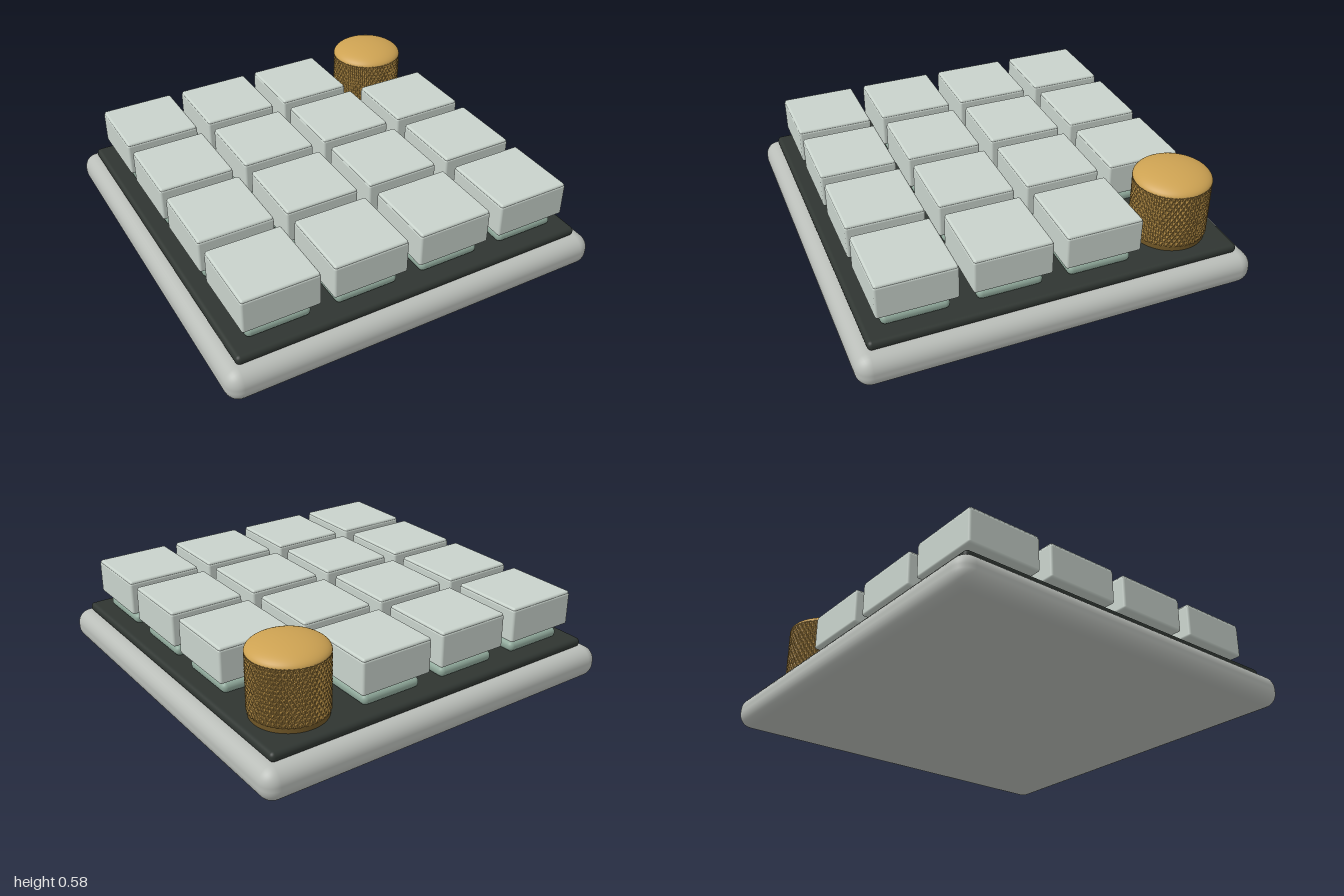
import * as THREE from 'three';
import { RoundedBoxGeometry } from 'three/addons/geometries/RoundedBoxGeometry.js';

const paint = (color) => new THREE.MeshStandardMaterial({ color });
const shell = paint(0xb9bdb8), dark = paint(0x2f3531), capPaint = paint(0xc8d2cb);
const switchPaint = paint(0x8fa89a), gold = paint(0xcda252), bronze = paint(0x6e5526);

function part(name, geometry, material, y = 0) {
  const mesh = new THREE.Mesh(geometry, material);
  mesh.name = name;
  mesh.position.y = y;
  return mesh;
}

// Rounded square block spanning y0..y1
function block(name, width, y0, y1, radius, material) {
  return part(name, new RoundedBoxGeometry(width, y1 - y0, width, 4, radius), material, (y0 + y1) / 2);
}

// Cylinder whose wall is raised by crossing helical ridges
function knurlGeometry(radius, height, depth) {
  const geo = new THREE.CylinderGeometry(radius, radius, height, 288, 28, true);
  const pos = geo.attributes.position;
  const ridge = (t) => Math.abs(2 * (t - Math.floor(t)) - 1);
  for (let i = 0; i < pos.count; i++) {
    const x = pos.getX(i), y = pos.getY(i), z = pos.getZ(i);
    const turn = Math.atan2(x, z) / (2 * Math.PI) * 48;
    const rise = (y / height) * 7;
    const r = radius - depth * (1 - Math.max(ridge(turn + rise), ridge(turn - rise)));
    pos.setXYZ(i, x * r / radius, y, z * r / radius);
  }
  geo.computeVertexNormals();
  return geo;
}

function createKnob() {
  const knob = new THREE.Group();
  knob.name = 'knob';
  knob.add(part('knobCore', new THREE.CylinderGeometry(0.184, 0.184, 0.305, 64), bronze, 0.36));
  const grip = paint(0xa8833f);
  grip.flatShading = true;
  knob.add(part('knobGrip', knurlGeometry(0.192, 0.28, 0.007), grip, 0.375));

  // Domed top, closed underneath
  const profile = [new THREE.Vector2(0, 0)];
  for (let i = 0; i <= 16; i++) {
    const a = (i / 16) * Math.PI / 2;
    profile.push(new THREE.Vector2(0.192 * Math.cos(a), 0.063 * Math.sin(a)));
  }
  knob.add(part('knobDome', new THREE.LatheGeometry(profile, 64), gold, 0.515));
  return knob;
}

function createKey() {
  const key = new THREE.Group();
  key.name = 'key';
  key.add(block('switchHousing', 0.325, 0.205, 0.258, 0.025, switchPaint));
  key.add(part('switchStem', new THREE.BoxGeometry(0.115, 0.05, 0.115), switchPaint, 0.272));
  key.add(block('keycap', 0.388, 0.283, 0.455, 0.012, capPaint));
  key.add(block('keycapTop', 0.382, 0.44, 0.464, 0.011, capPaint));
  return key;
}

export function createModel() {
  const model = new THREE.Group();
  model.name = 'macroPad';
  model.add(block('base', 2, 0, 0.163, 0.072, shell));
  model.add(block('plate', 1.86, 0.16, 0.208, 0.022, dark));

  // Four by four grid, with the knob in the back left place
  const pitch = 0.453;
  for (let row = 0; row < 4; row++) {
    for (let col = 0; col < 4; col++) {
      const item = row === 0 && col === 3 ? createKnob() : createKey();
      item.position.set((col - 1.5) * pitch, 0, (row - 1.5) * pitch);
      model.add(item);
    }
  }
  return model;
}
